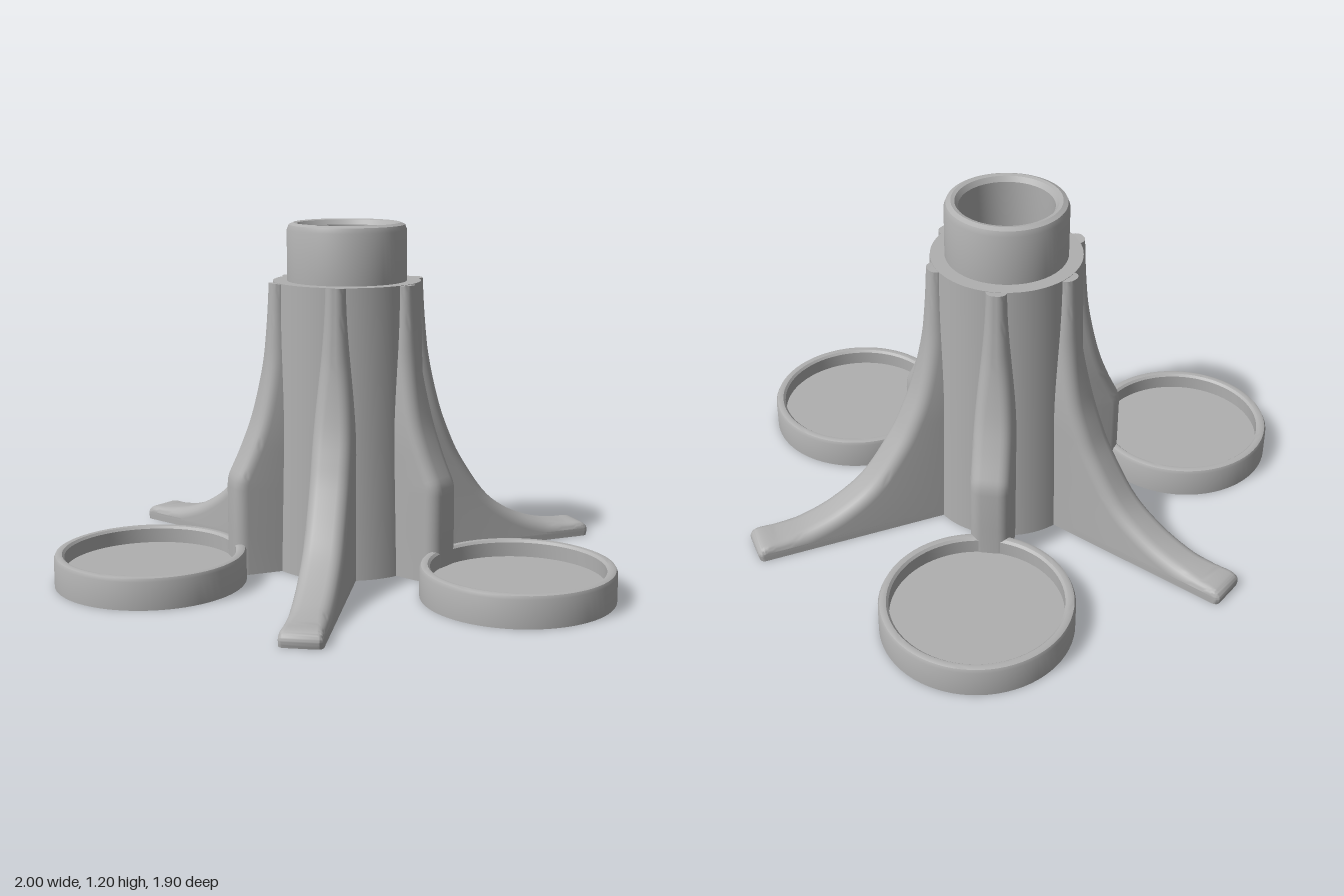
import * as THREE from 'three';
import { toCreasedNormals } from 'three/addons/utils/BufferGeometryUtils.js';

const AXIS_X = -0.047;
const grey = new THREE.MeshStandardMaterial({ color: 0xb0b0b0, side: THREE.DoubleSide });
grey.name = 'plain grey';

const part = (geometry, name, crease = 0.6) => {
  const mesh = new THREE.Mesh(toCreasedNormals(geometry, crease), grey);
  mesh.name = name;
  return mesh;
};

const lathe = (profile, segments = 72) =>
  new THREE.LatheGeometry(profile.map(([r, y]) => new THREE.Vector2(r, y)), segments);

// Fin: a rounded ridge follows the outer curve, with flat flanks running in to the column.
function finGeometry(path) {
  const inner = 0.25, arc = 6, rings = [];
  path.forEach((p, i) => {
    const a = path[Math.max(i - 1, 0)], b = path[Math.min(i + 1, path.length - 1)];
    const t = i === path.length - 1 ? new THREE.Vector2(0, -1) : b.clone().sub(a).normalize();
    const n = new THREE.Vector2(t.y, -t.x);
    // half width widens from the top down; the edge radius shrinks near the tip
    const w = 0.035 + 0.035 * THREE.MathUtils.smoothstep(1 - p.y, 0, 0.55);
    const c = Math.min(w * 0.85, 0.042, 0.018 + Math.max(0, 0.95 - p.x) * 0.15);
    const at = (s, depth) => [p.x + n.x * depth, Math.max(0, p.y + n.y * depth), s];
    const ring = [];
    for (const side of [-1, 1]) {
      for (let k = 0; k <= arc; k++) {
        const q = (side < 0 ? k : arc - k) / arc * Math.PI / 2;
        ring.push(at(side * (w - c + c * Math.cos(q)), c * (1 - Math.sin(q))));
      }
    }
    ring.unshift([inner, ring[0][1], -w]);
    ring.push([inner, ring[1][1], w]);
    ring[ring.length - 1][1] = ring[0][1];
    rings.push(ring);
  });
  const m = rings[0].length, index = [];
  for (let i = 0; i < rings.length - 1; i++) {
    for (let j = 0; j < m - 1; j++) {
      const a = i * m + j, b = a + m;
      index.push(a, a + 1, b, a + 1, b + 1, b);
    }
  }
  // top and bottom caps
  const last = (rings.length - 1) * m;
  for (let j = 1; j < m - 1; j++) {
    index.push(0, j + 1, j, last, last + j, last + j + 1);
  }
  const geometry = new THREE.BufferGeometry();
  geometry.setAttribute('position', new THREE.Float32BufferAttribute(rings.flat(2), 3));
  geometry.setIndex(index);
  return geometry;
}

const curve = (points, n) =>
  new THREE.SplineCurve(points.map(([x, y]) => new THREE.Vector2(x, y))).getPoints(n);

export function createModel() {
  const model = new THREE.Group();
  model.name = 'finnedStand';
  const stand = new THREE.Group();
  stand.name = 'stand';
  stand.position.x = AXIS_X;
  model.add(stand);

  // Hollow tapered column with a narrower neck
  stand.add(part(lathe([
    [0.28, 0], [0.257, 1], [0.208, 1], [0.208, 1.175], [0.201, 1.193], [0.185, 1.2],
    [0.172, 1.197], [0.16, 1.18], [0.16, 1], [0.245, 0], [0.28, 0],
  ]), 'column'));

  const upper = [[0.283, 1], [0.292, 0.85], [0.308, 0.7], [0.34, 0.55], [0.38, 0.44]];
  const longPath = curve([...upper, [0.43, 0.34], [0.53, 0.2], [0.64, 0.12], [0.75, 0.075],
    [0.85, 0.056], [0.915, 0.052], [0.94, 0.043], [0.952, 0.024], [0.948, 0]], 64);
  const shortPath = [...curve([...upper, [0.425, 0.345]], 24),
    ...[[0.431, 0.325], [0.433, 0.3], [0.433, 0.15], [0.433, 0]].map(([x, y]) => new THREE.Vector2(x, y))];
  const longFin = finGeometry(longPath), shortFin = finGeometry(shortPath);

  // Shallow dish with a raised rim
  const dish = lathe([
    [0, 0], [0.325, 0], [0.325, 0.095], [0.32, 0.106], [0.31, 0.11],
    [0.298, 0.108], [0.29, 0.1], [0.29, 0.05], [0, 0.05],
  ]);

  // Three arms with dishes, alternating with three long legs
  for (let i = 0; i < 3; i++) {
    const angle = i * Math.PI * 2 / 3;
    const arm = new THREE.Group();
    arm.name = 'dishArm' + (i + 1);
    arm.rotation.y = angle;
    const tray = part(dish, 'dish');
    tray.position.x = 0.719;
    arm.add(part(shortFin, 'shortFin'), tray);
    const leg = part(longFin, 'longLeg' + (i + 1));
    leg.rotation.y = angle + Math.PI;
    stand.add(arm, leg);
  }
  return model;
}
